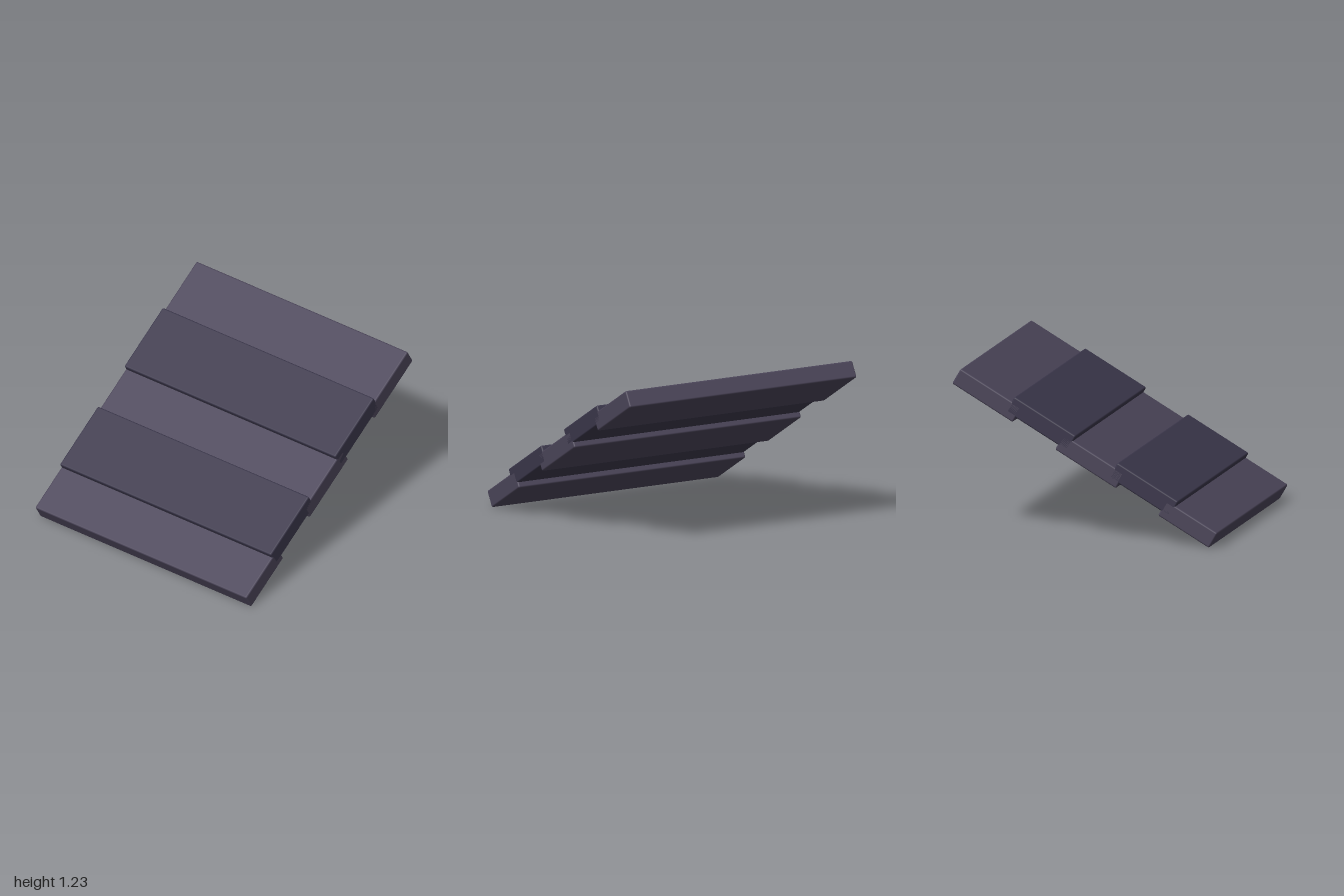
import * as THREE from 'three';
import { RoundedBoxGeometry } from 'three/addons/geometries/RoundedBoxGeometry.js';

const WIDTH = 1.94;
const THICKNESS = 0.13;
const BEVEL = 0.012;

export function createModel() {
  const model = new THREE.Group();
  model.name = 'slopedPlankPanel';

  const light = new THREE.MeshStandardMaterial({ color: 0x4a4458 });
  const dark = new THREE.MeshStandardMaterial({ color: 0x3a364a });

  // Overlapping planks, from the low front edge to the high back edge:
  // start and end along the slope; every second plank is raised and darker
  const spans = [
    [-0.813, -0.367],
    [-0.446, 0.086],
    [0.0, 0.533],
    [0.449, 0.986],
    [0.903, 1.433],
  ];

  // The whole run leans back at 30 degrees
  const slope = new THREE.Group();
  slope.name = 'slope';
  slope.rotation.x = Math.PI / 6;
  model.add(slope);

  spans.forEach(([start, end], i) => {
    const raised = i % 2 === 1;
    const plank = new THREE.Mesh(
      new RoundedBoxGeometry(WIDTH, THICKNESS, end - start, 3, BEVEL),
      raised ? dark : light
    );
    plank.name = raised ? `upperPlank${i + 1}` : `lowerPlank${i + 1}`;
    plank.position.set(0, raised ? 0.579 : 0.537, -(start + end) / 2);
    slope.add(plank);
  });

  return model;
}
